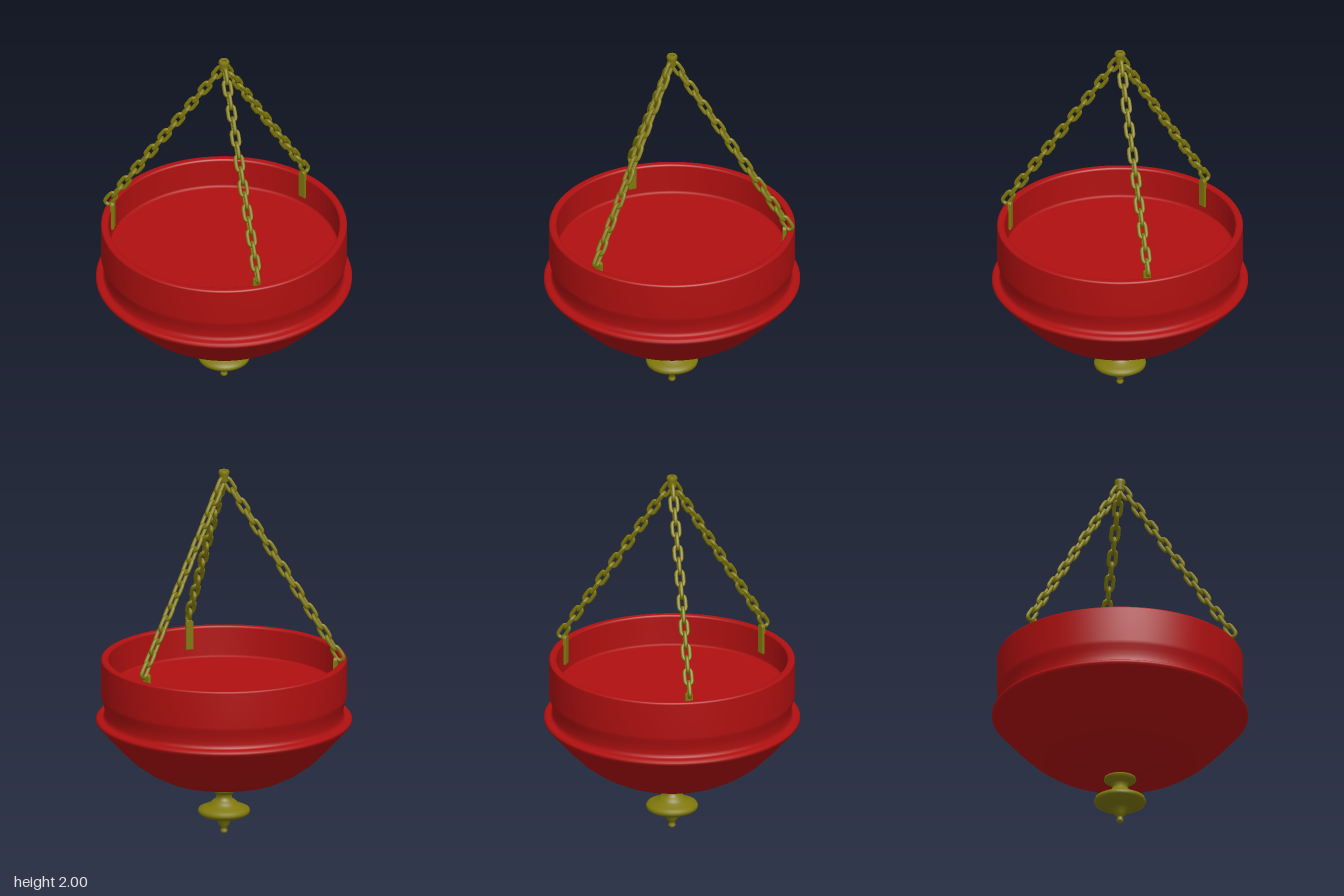
import * as THREE from 'three';

const red = new THREE.MeshStandardMaterial({ color: 0xb01010 });
const olive = new THREE.MeshStandardMaterial({ color: 0x80780c });

function add(parent, name, geometry, material) {
  const mesh = new THREE.Mesh(geometry, material);
  mesh.name = name;
  parent.add(mesh);
  return mesh;
}

const lathe = (pts, sides) =>
  new THREE.LatheGeometry(pts.map(([r, y]) => new THREE.Vector2(r, y)), sides);

// Oval chain link, long axis on y, lying in the xy plane
function linkGeometry(halfLength, halfWidth, wire) {
  const pts = [];
  for (let i = 0; i < 12; i++) {
    const a = (i / 12) * Math.PI * 2;
    const straight = (halfLength - halfWidth) * Math.sign(Math.round(Math.sin(a) * 100));
    pts.push(new THREE.Vector3(halfWidth * Math.cos(a), halfWidth * Math.sin(a) + straight, 0));
  }
  return new THREE.TubeGeometry(new THREE.CatmullRomCurve3(pts, true), 24, wire, 8, true);
}

export function createModel() {
  const model = new THREE.Group();
  model.name = 'hangingBowlLamp';

  // Bowl: outer skin going up, over the rim, and down to a shallow flat floor
  add(model, 'bowl', lathe([
    [0, 0.262], [0.09, 0.265], [0.2, 0.287], [0.33, 0.325], [0.41, 0.367], [0.49, 0.425],
    [0.57, 0.505], [0.63, 0.572], [0.67, 0.617], [0.677, 0.627], [0.677, 0.636], [0.671, 0.643],
    [0.66, 0.646], [0.642, 0.646], [0.634, 0.652], [0.631, 0.668], [0.632, 0.695], [0.638, 0.725],
    [0.646, 0.75], [0.65, 0.77], [0.65, 0.956], [0.647, 0.963], [0.64, 0.966], [0.619, 0.966],
    [0.612, 0.963], [0.609, 0.955], [0.608, 0.81], [0.604, 0.801], [0.59, 0.798], [0.3, 0.796], [0, 0.796],
  ], 96), red);

  // Turned finial below the bowl
  add(model, 'finial', lathe([
    [0, 0.005], [0.012, 0.006], [0.019, 0.014], [0.019, 0.022], [0.013, 0.032], [0.018, 0.04],
    [0.03, 0.055], [0.036, 0.075], [0.05, 0.088], [0.08, 0.095], [0.115, 0.106], [0.134, 0.118],
    [0.138, 0.13], [0.133, 0.142], [0.11, 0.153], [0.08, 0.164], [0.07, 0.176], [0.058, 0.187],
    [0.043, 0.197], [0.04, 0.215], [0.05, 0.23], [0.075, 0.242], [0.086, 0.252], [0.084, 0.262],
    [0.06, 0.27], [0, 0.27],
  ], 48), olive);

  // Hollow collar that gathers the chains
  add(model, 'topCollar', lathe([
    [0.011, 1.935], [0.02, 1.935], [0.024, 1.942], [0.024, 1.972], [0.028, 1.98], [0.028, 1.994],
    [0.024, 2], [0.013, 2], [0.011, 1.996], [0.011, 1.935],
  ], 24), olive);

  // Three chains, each with a bracket on the inner wall
  const link = linkGeometry(0.041, 0.019, 0.0105);
  const low = new THREE.Vector3(0.615, 1.03, 0);
  const high = new THREE.Vector3(0.03, 1.92, 0);
  const direction = high.clone().sub(low).normalize();
  const tilt = Math.atan2(-direction.x, direction.y);
  const count = 17;

  // Flat strip with a rounded top
  const strip = new THREE.Shape();
  strip.moveTo(-0.018, 0.85);
  strip.lineTo(0.018, 0.85);
  strip.lineTo(0.018, 0.99);
  strip.absarc(0, 0.99, 0.018, 0, Math.PI, false);
  strip.closePath();
  const stripGeometry = new THREE.ExtrudeGeometry(strip, {
    depth: 0.014, bevelEnabled: true, bevelSize: 0.003, bevelThickness: 0.003, bevelSegments: 2, curveSegments: 8,
  });

  [Math.PI, Math.PI / 3, -Math.PI / 3].forEach((angle, n) => {
    const arm = new THREE.Group();
    arm.name = 'chain' + (n + 1);
    arm.rotation.y = angle;
    model.add(arm);

    const bracket = add(arm, 'bracket', stripGeometry, olive);
    bracket.rotation.y = Math.PI / 2;
    bracket.position.x = 0.597;

    for (let i = 0; i < count; i++) {
      const mesh = add(arm, 'link', link, olive);
      mesh.position.lerpVectors(low, high, i / (count - 1));
      mesh.rotation.set(0, i % 2 ? Math.PI / 2 : 0, tilt, 'ZYX');
    }
  });

  return model;
}
